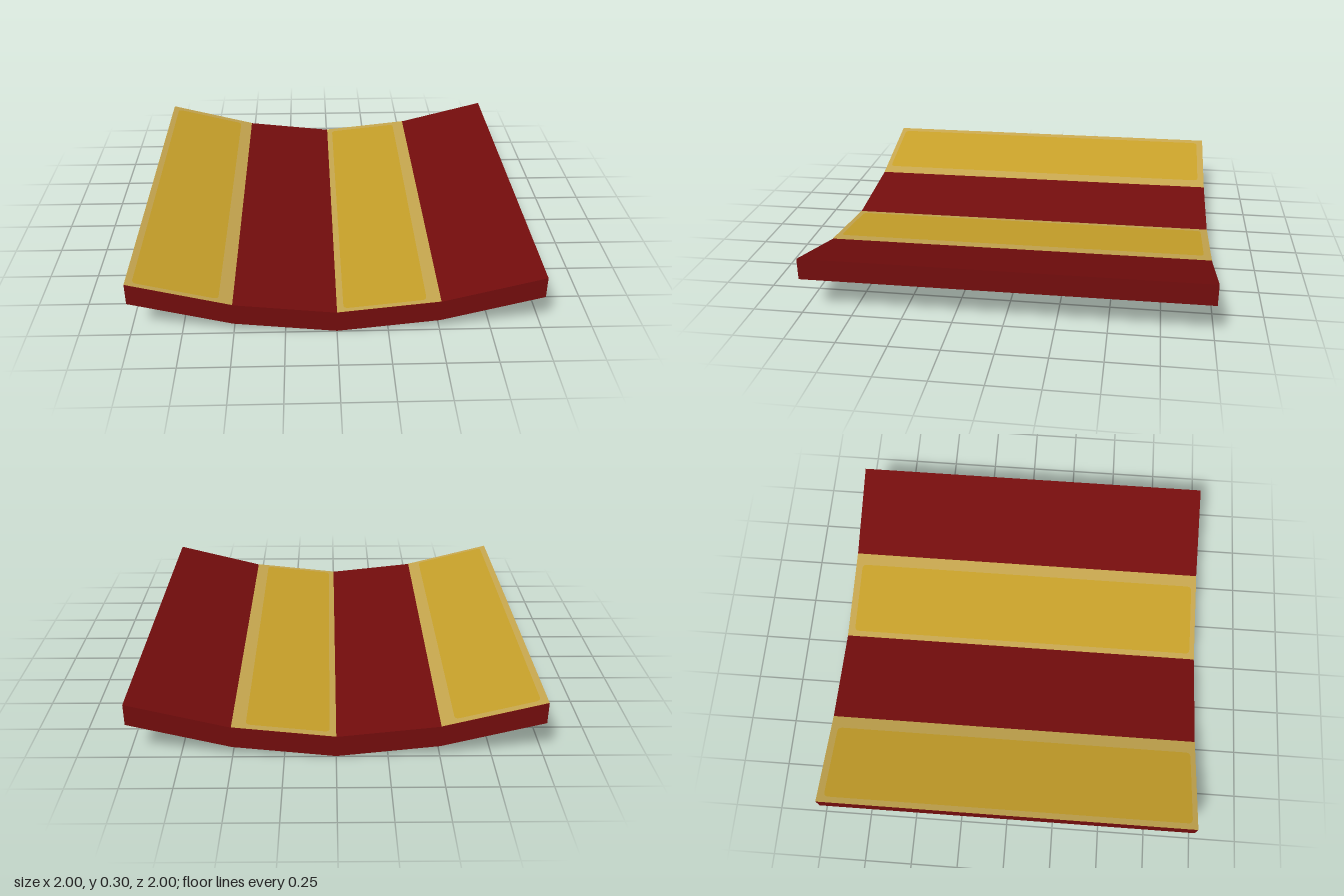
import * as THREE from 'three';

const THICK = 0.11;
// Fold lines of the bent slab: x and underside height
const FOLDS = [[-1, 0.183], [-0.5, 0.055], [0, 0], [0.5, 0.055], [1, 0.183]];

const red = new THREE.MeshStandardMaterial({ name: 'deep red', color: 0x750d0d });
const gold = new THREE.MeshStandardMaterial({ name: 'gold', color: 0xc9a22a });
const paleGold = new THREE.MeshStandardMaterial({ name: 'pale gold', color: 0xc8a84f });

// Rectangle outline with rounded corners
function roundedRect(target, x0, x1, y0, y1, r) {
  target.moveTo(x0 + r, y0);
  target.lineTo(x1 - r, y0).quadraticCurveTo(x1, y0, x1, y0 + r);
  target.lineTo(x1, y1 - r).quadraticCurveTo(x1, y1, x1 - r, y1);
  target.lineTo(x0 + r, y1).quadraticCurveTo(x0, y1, x0, y1 - r);
  target.lineTo(x0, y0 + r).quadraticCurveTo(x0, y0, x0 + r, y0);
  return target;
}

// Lays a flat shape on one face of a tilted panel; side is 1 for top, -1 for underside
function layOnPanel(shape, i, side) {
  const [x0, y0] = FOLDS[i], [x1, y1] = FOLDS[i + 1];
  const lift = side > 0 ? THICK + 0.0015 : -0.0015;
  const geo = new THREE.ShapeGeometry(shape, 4);
  const p = geo.attributes.position;
  for (let k = 0; k < p.count; k++) {
    const x = p.getX(k), v = p.getY(k);
    const y = y0 + (y1 - y0) * (x - x0) / (x1 - x0) + lift;
    p.setXYZ(k, x, y, -side * v);
  }
  geo.computeVertexNormals();
  return geo;
}

export function createModel() {
  const model = new THREE.Group();
  model.name = 'bentSlab';
  const add = (name, geo, mat) => {
    const mesh = new THREE.Mesh(geo, mat);
    mesh.name = name;
    model.add(mesh);
  };

  // Bent slab
  const profile = new THREE.Shape([
    ...FOLDS.map(([x, y]) => new THREE.Vector2(x, y)),
    ...[...FOLDS].reverse().map(([x, y]) => new THREE.Vector2(x, y + THICK)),
  ]);
  const body = new THREE.ExtrudeGeometry(profile, { depth: 2, bevelEnabled: false });
  body.translate(0, 0, -1);
  add('slab', body, red);

  // Gold stripes with pale edges, on both faces of every other panel
  for (const i of [0, 2]) {
    for (const side of [1, -1]) {
      const x0 = FOLDS[i][0], x1 = FOLDS[i + 1][0];
      const zs = [-side * -0.963, -side * 0.973].sort((a, b) => a - b);
      const inset = [x0 + 0.032, x1 - 0.067, zs[0], zs[1], 0.025];
      const border = new THREE.Shape([[x0, -1], [x1, -1], [x1, 1], [x0, 1]]
        .map(([x, y]) => new THREE.Vector2(x, y)));
      border.holes.push(roundedRect(new THREE.Path(), ...inset));
      const face = side > 0 ? 'top' : 'bottom';
      add(face + 'StripeBorder', layOnPanel(border, i, side), paleGold);
      add(face + 'Stripe', layOnPanel(roundedRect(new THREE.Shape(), ...inset), i, side), gold);
    }
  }
  return model;
}
